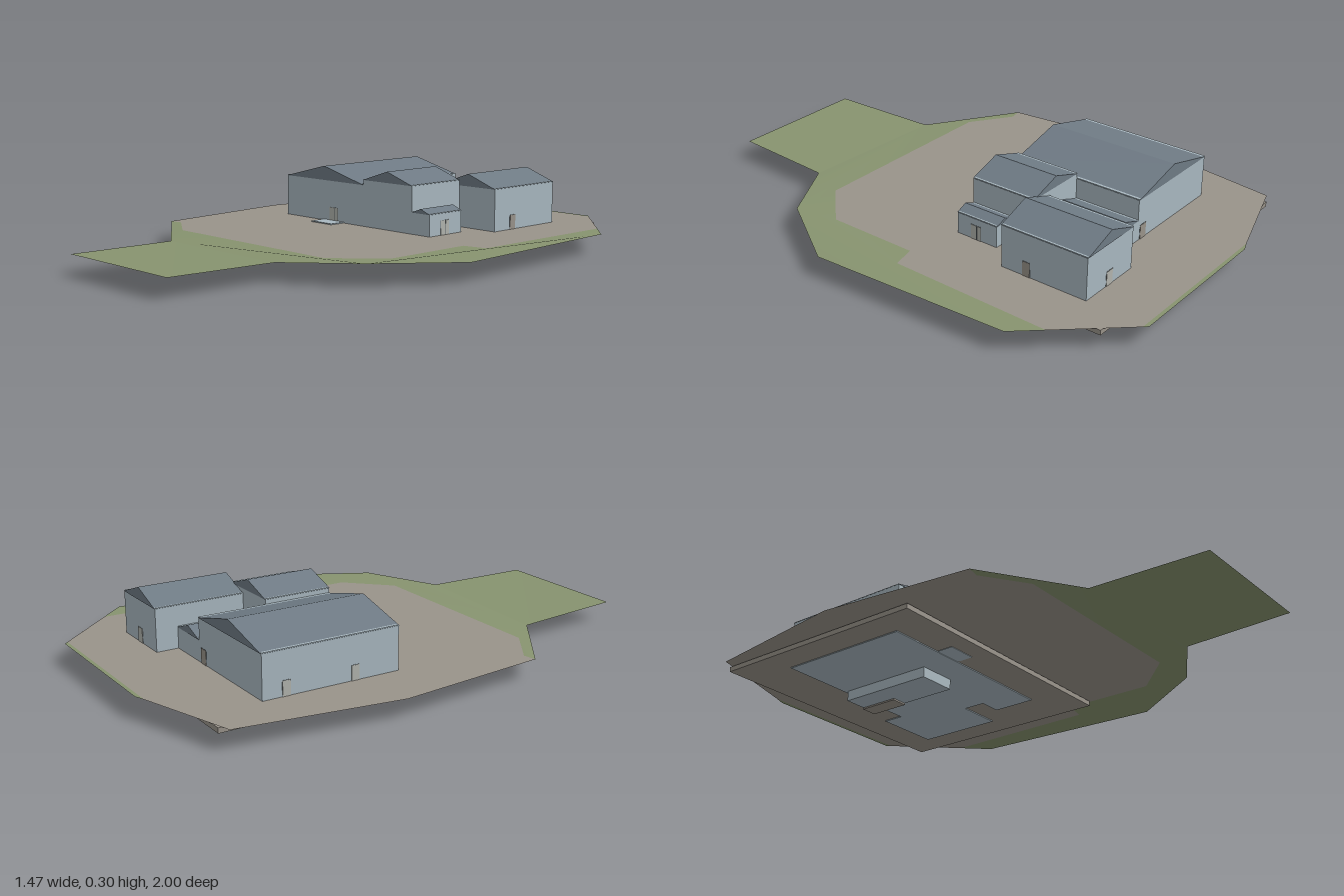
import * as THREE from 'three';

const mat = (name, color, side = THREE.FrontSide) => {
  const m = new THREE.MeshStandardMaterial({ color, side });
  m.name = name;
  return m;
};

export function createModel() {
  const model = new THREE.Group();
  const wall = mat('pale blue wall', 0xa9b8c0);
  const roof = mat('slate roof', 0x6f7b85);
  const gravel = mat('gravel', 0x99938a, THREE.DoubleSide);
  const grass = mat('grass', 0x87936f, THREE.DoubleSide);
  const doorMat = mat('door', 0xb2b4ae);
  const frameMat = mat('door frame', 0x5c6469);

  const add = (parent, name, geo, material) => {
    const mesh = new THREE.Mesh(geo, material);
    mesh.name = name;
    parent.add(mesh);
    return mesh;
  };
  const box = (parent, name, material, x0, x1, y0, y1, z0, z1) => {
    const geo = new THREE.BoxGeometry(x1 - x0, y1 - y0, z1 - z0);
    geo.translate((x0 + x1) / 2, (y0 + y1) / 2, (z0 + z1) / 2);
    return add(parent, name, geo, material);
  };

  // Ground sheets: corners are [x, z, y], y defaulting to the level height
  const LEVEL = 0.072;
  const sheet = (name, material, pts) => {
    const shape = new THREE.Shape(pts.map(([x, z]) => new THREE.Vector2(x, -z)));
    const geo = new THREE.ShapeGeometry(shape);
    geo.rotateX(-Math.PI / 2);
    const p = geo.attributes.position;
    for (let i = 0; i < p.count; i++) {
      const hit = pts.find(([x, z]) => Math.hypot(x - p.getX(i), z - p.getZ(i)) < 1e-4);
      p.setY(i, hit?.[2] ?? LEVEL);
    }
    geo.computeVertexNormals();
    add(model, name, geo, material);
  };
  // Shared line between gravel and grass, from the back right to the front left
  const border = [[0.6, -0.759], [0.59, -0.12], [0.5, -0.1], [0.5, 0.26],
    [0.34, 0.42], [-0.46, 0.42], [-0.62, 0.31], [-0.67, 0.32]];
  sheet('gravelYard', gravel, [...border, [-0.735, -0.27], [-0.65, -0.87], [-0.28, -0.985], [0.395, -0.985]]);
  sheet('grassVerge', grass, [[0.6, -0.759], [0.69, -0.66], [0.73, 0.12], [0.54, 0.42, 0.08],
    [0.27, 0.58, 0.068], [-0.34, 0.56, 0.062], [-0.67, 0.32], ...border.slice(1, -1).reverse()]);
  sheet('grassDrive', grass, [[0.27, 0.58, 0.068], [0.25, 1], [-0.31, 1], [-0.34, 0.56, 0.062]]);
  sheet('backGrass', grass, [[-0.28, -0.985], [-0.24, -1], [0.38, -1], [0.395, -0.985]]);

  // Foundation, basement and its stairwell below ground
  box(model, 'foundation', gravel, -0.61, 0.49, 0.05, 0.069, -0.89, 0);
  box(model, 'basement', wall, -0.21, -0.057, 0.006, 0.06, -0.66, -0.27);
  box(model, 'stairwell', gravel, -0.12, -0.055, 0, 0.06, -0.662, -0.5);
  box(model, 'porchPad', wall, -0.28, -0.165, 0.048, 0.076, -0.146, -0.077);

  // Gabled buildings: walls plus a solid roof prism with its ridge along z
  const halls = [
    ['mainHall', -0.5, -0.055, -0.675, -0.145, 0.236, 0.289],
    ['middleHall', -0.055, 0.205, -0.41, -0.145, 0.256, 0.296],
    ['rearLink', -0.055, 0.115, -0.675, -0.41, 0.155, 0.183],
    ['backHall', 0.115, 0.382, -0.76, -0.41, 0.236, 0.281],
    ['sidePorch', 0.205, 0.294, -0.32, -0.146, 0.157, 0.172],
  ];
  for (const [name, x0, x1, z0, z1, eave, ridge] of halls) {
    const hall = new THREE.Group();
    hall.name = name;
    model.add(hall);
    box(hall, 'walls', wall, x0, x1, 0.046, eave, z0, z1);
    const gable = new THREE.Shape([
      new THREE.Vector2(x0 - 0.001, eave - 0.003),
      new THREE.Vector2(x1 + 0.001, eave - 0.003),
      new THREE.Vector2((x0 + x1) / 2, ridge),
    ]);
    const prism = new THREE.ExtrudeGeometry(gable, { depth: z1 - z0 + 0.004, bevelEnabled: false });
    prism.translate(0, 0, z0 - 0.002);
    add(hall, 'roof', prism, roof);
  }

  // Doors: a thin panel over a slightly larger frame, turned to face outward
  const doors = [
    ['frontDoor', -0.222, -0.145, 0, 0.046, doorMat],
    ['porchDoor', 0.294, -0.228, Math.PI / 2, 0.044, doorMat],
    ['sideDoor', 0.382, -0.515, Math.PI / 2, 0.03, gravel],
    ['backDoor', 0.25, -0.76, Math.PI, 0.035, doorMat],
    ['stairDoor', -0.088, -0.675, Math.PI, 0.036, gravel],
    ['rightRearDoor', -0.5, -0.585, -Math.PI / 2, 0.03, doorMat],
    ['rightFrontDoor', -0.5, -0.32, -Math.PI / 2, 0.03, doorMat],
  ];
  for (const [name, x, z, turn, w, material] of doors) {
    const door = new THREE.Group();
    door.name = name;
    door.position.set(x, 0, z);
    door.rotation.y = turn;
    box(door, 'frame', frameMat, -w / 2 - 0.001, w / 2 + 0.001, 0.072, 0.128, -0.001, 0.001);
    box(door, 'panel', material, -w / 2, w / 2, 0.072, 0.127, 0, 0.002);
    if (w > 0.04) box(door, 'divider', frameMat, 0.003, 0.005, 0.072, 0.127, 0.001, 0.003);
    model.add(door);
  }

  return model;
}
